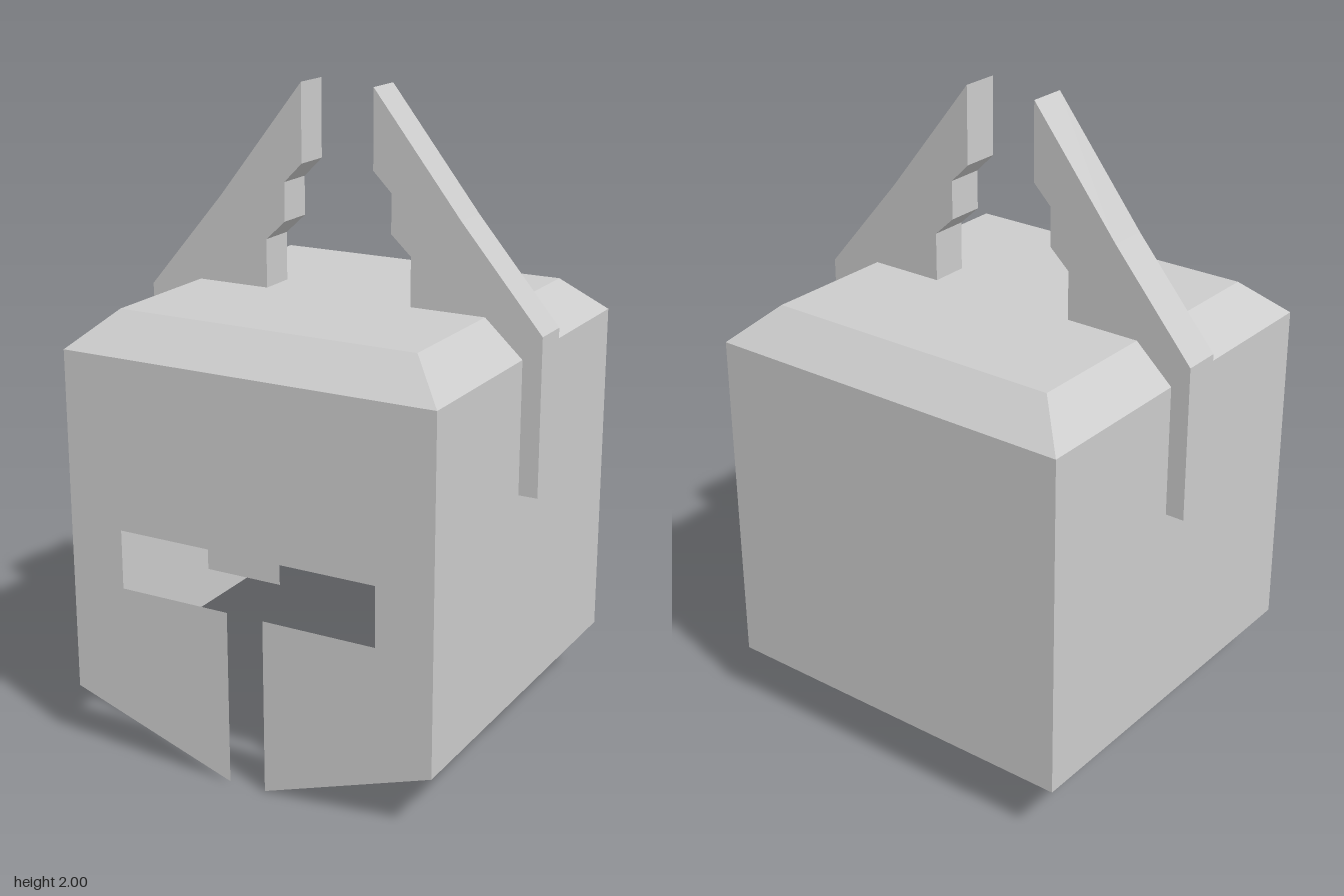
import * as THREE from 'three';

const W = 0.605;      // half width of the helmet
const RIM = 0.185;    // lower edge of the walls
const EDGE = 1.26;    // where the roof bevel starts
const TOP = 1.37;     // flat roof height
const ROOF = 0.485;   // half width of the flat roof

// Single flat panel from four corners, counter-clockwise seen from outside
function quad(a, b, c, d) {
  const g = new THREE.BufferGeometry();
  g.setAttribute('position', new THREE.Float32BufferAttribute([a, b, c, a, c, d].flat(), 3));
  g.computeVertexNormals();
  return g;
}

// Closed shape symmetric about x = 0, given its +x half from top to bottom
function mirroredShape(half) {
  const other = half.map(([x, y]) => [-x, y]).reverse();
  return new THREE.Shape([...half, ...other].map(([x, y]) => new THREE.Vector2(x, y)));
}

export function createModel() {
  const group = new THREE.Group();
  const steel = new THREE.MeshStandardMaterial({ color: 0xcccccc, side: THREE.DoubleSide, flatShading: true });
  steel.name = 'steel grey';

  function add(name, geometry) {
    const mesh = new THREE.Mesh(geometry, steel);
    mesh.name = name;
    group.add(mesh);
    return mesh;
  }

  // Face plate with T-shaped visor opening and pointed cheeks
  const face = add('facePlate', new THREE.ShapeGeometry(mirroredShape([
    [W, EDGE], [W, RIM], [0.06, 0], [0.06, 0.545], [0.425, 0.545],
    [0.425, 0.73], [0.12, 0.73], [0.12, 0.67],
  ])));
  face.position.z = W;

  // Thin side and back walls, and the four bevels around the roof
  ['front', 'left', 'back', 'right'].forEach((side, i) => {
    const angle = i * Math.PI / 2;
    if (i > 0) {
      add(side + 'Wall', quad([-W, RIM, W], [W, RIM, W], [W, EDGE, W], [-W, EDGE, W])).rotation.y = angle;
    }
    add(side + 'Bevel', quad([-W, EDGE, W], [W, EDGE, W], [ROOF, TOP, ROOF], [-ROOF, TOP, ROOF])).rotation.y = angle;
  });

  // Flat roof; the bottom stays open
  add('roof', quad([-ROOF, TOP, ROOF], [ROOF, TOP, ROOF], [ROOF, TOP, -ROOF], [-ROOF, TOP, -ROOF]));

  // Stepped horns hugging the roof and sides
  const horn = [
    [0.605, 0.85], [0.665, 0.85], [0.665, 1.335], [0.405, 1.64], [0.12, 2], [0.12, 1.76],
    [0.18, 1.7], [0.18, 1.58], [0.245, 1.52], [0.245, TOP], [ROOF, TOP], [W, EDGE],
  ];
  for (const [name, s] of [['leftHorn', 1], ['rightHorn', -1]]) {
    const shape = new THREE.Shape(horn.map(([x, y]) => new THREE.Vector2(s * x, y)));
    const geometry = new THREE.ExtrudeGeometry(shape, { depth: 0.12, bevelEnabled: false });
    add(name, geometry.translate(0, 0, -0.06));
  }

  return group;
}
